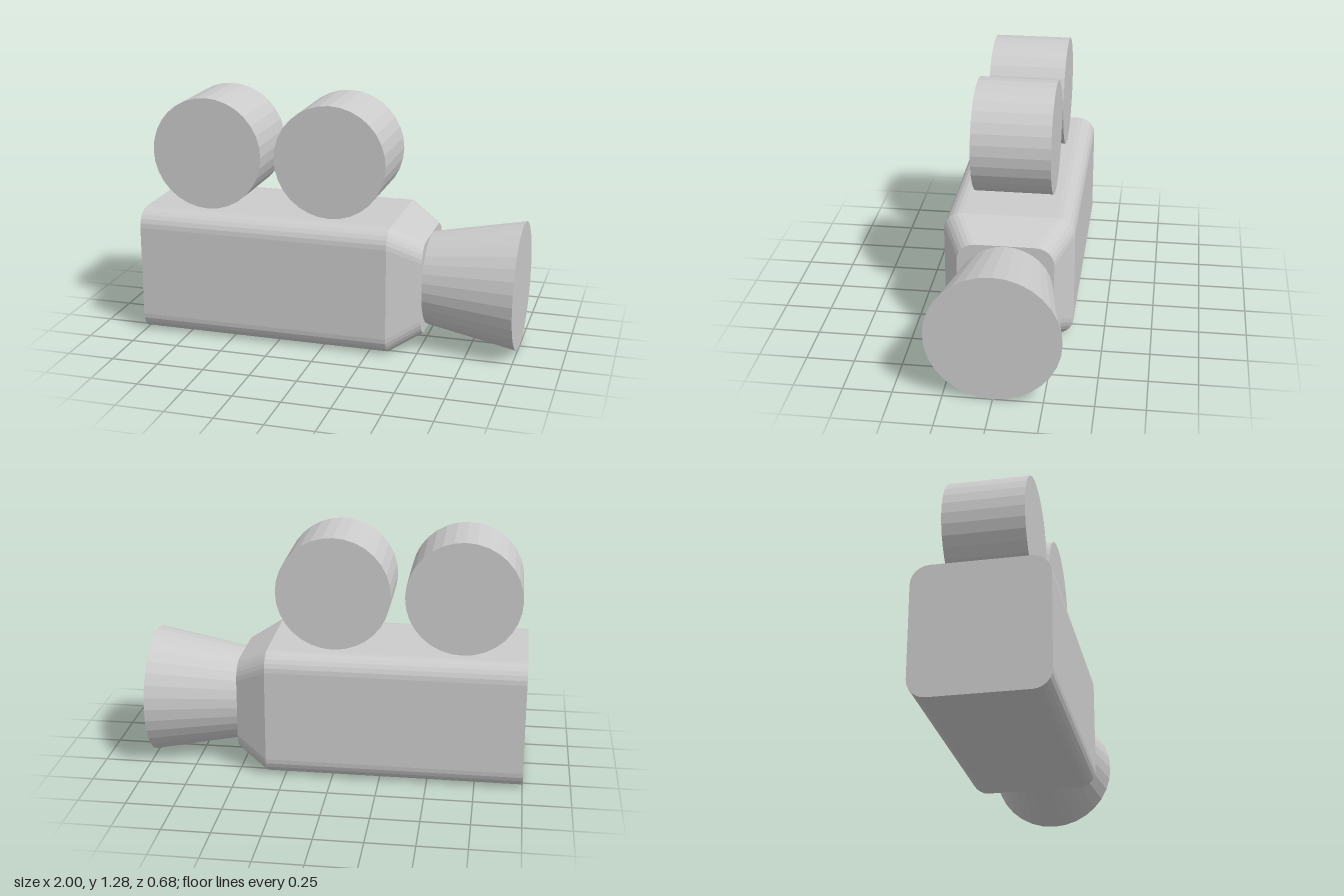
import * as THREE from 'three';

const material = new THREE.MeshStandardMaterial({ color: 0xcccccc, flatShading: true });
const HALF = 0.34, RADIUS = 0.095, AXIS_Y = 0.34;

// Square section with rounded corners, centred on the origin
function roundedSquare(h, r) {
  const c = h - r, s = new THREE.Shape();
  s.moveTo(-c, -h);
  s.lineTo(c, -h);
  s.absarc(c, -c, r, -Math.PI / 2, 0);
  s.lineTo(h, c);
  s.absarc(c, c, r, 0, Math.PI / 2);
  s.lineTo(-c, h);
  s.absarc(-c, c, r, Math.PI / 2, Math.PI);
  s.lineTo(-h, -c);
  s.absarc(-c, -c, r, Math.PI, Math.PI * 1.5);
  return s;
}

// Section run along x from x0 to x1; the far end is drawn inward by inset
function bar(x0, x1, inset) {
  const depth = x1 - x0;
  const geo = new THREE.ExtrudeGeometry(roundedSquare(HALF, RADIUS), {
    depth, bevelEnabled: false, curveSegments: 3, steps: 1,
  });
  const p = geo.attributes.position;
  for (let i = 0; i < p.count; i++) {
    if (p.getZ(i) > depth / 2) {
      p.setX(i, p.getX(i) - Math.sign(p.getX(i)) * inset);
      p.setY(i, p.getY(i) - Math.sign(p.getY(i)) * inset);
    }
  }
  geo.rotateY(Math.PI / 2);
  geo.translate(x0, AXIS_Y, 0);
  geo.computeVertexNormals();
  return geo;
}

export function createModel() {
  const group = new THREE.Group();
  const add = (name, geo) => {
    const mesh = new THREE.Mesh(geo, material);
    mesh.name = name;
    group.add(mesh);
  };

  // Camera housing and its tapered front
  add('body', bar(-1, 0.35, 0));
  add('taperedNose', bar(0.35, 0.517, 0.09));

  // Lens hood flaring toward +x
  const hood = new THREE.CylinderGeometry(0.34, 0.248, 0.483, 32);
  hood.rotateZ(-Math.PI / 2);
  hood.translate(0.7585, AXIS_Y, 0);
  add('lensHood', hood);

  // Two film reels resting on top
  [['rearReel', -0.663], ['frontReel', 0.01]].forEach(([name, x]) => {
    const reel = new THREE.CylinderGeometry(0.3, 0.3, 0.413, 32);
    reel.rotateX(Math.PI / 2);
    reel.translate(x, 0.982, 0);
    add(name, reel);
  });

  return group;
}
